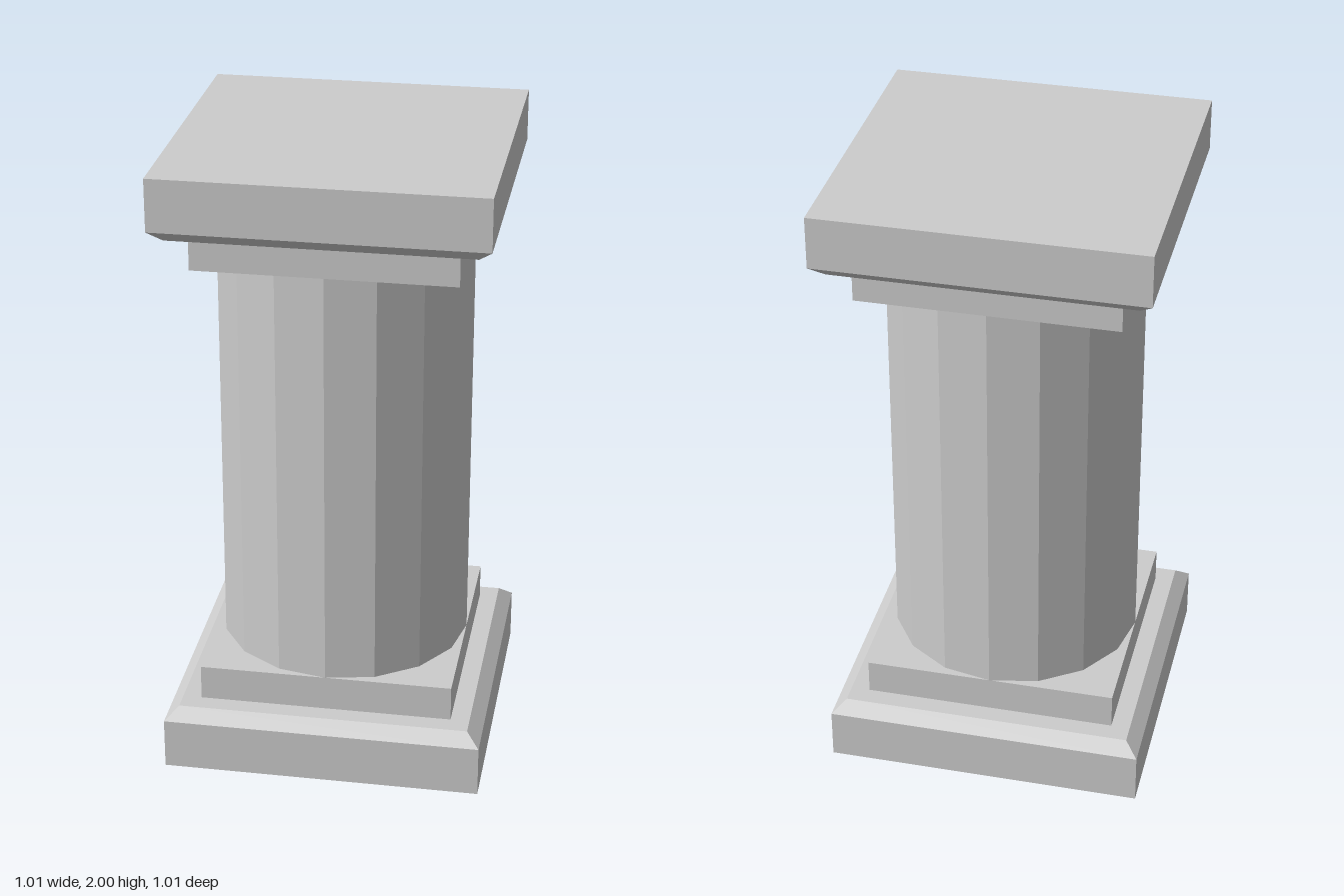
import * as THREE from 'three';

const material = new THREE.MeshStandardMaterial({ color: 0xcccccc, flatShading: true });

function addMesh(parent, name, geometry, y) {
  const mesh = new THREE.Mesh(geometry, material);
  mesh.name = name;
  mesh.position.y = y;
  parent.add(mesh);
}

// Square block turned from a profile of [half width, height] pairs
function squareBlock(profile) {
  const points = profile.map(([half, y]) => new THREE.Vector2(half * Math.SQRT2, y));
  return new THREE.LatheGeometry(points, 4, Math.PI / 4);
}

// Chamfered slab with a smaller square block on it
function createEnd(name) {
  const end = new THREE.Group();
  end.name = name;
  const slab = squareBlock([[0, 0], [0.506, 0], [0.506, 0.165], [0.464, 0.203], [0, 0.203]]);
  addMesh(end, 'slab', slab, 0);
  addMesh(end, 'neckBlock', new THREE.BoxGeometry(0.808, 0.114, 0.808), 0.26);
  return end;
}

export function createModel() {
  const pillar = new THREE.Group();
  pillar.name = 'pillar';

  // Base, and the same piece upside down as the capital
  const base = createEnd('base');
  const capital = createEnd('capital');
  capital.rotation.x = Math.PI;
  capital.position.y = 2;
  pillar.add(base, capital);

  // Sixteen-sided shaft
  addMesh(pillar, 'shaft', new THREE.CylinderGeometry(0.404, 0.404, 1.366, 16), 1);

  return pillar;
}
